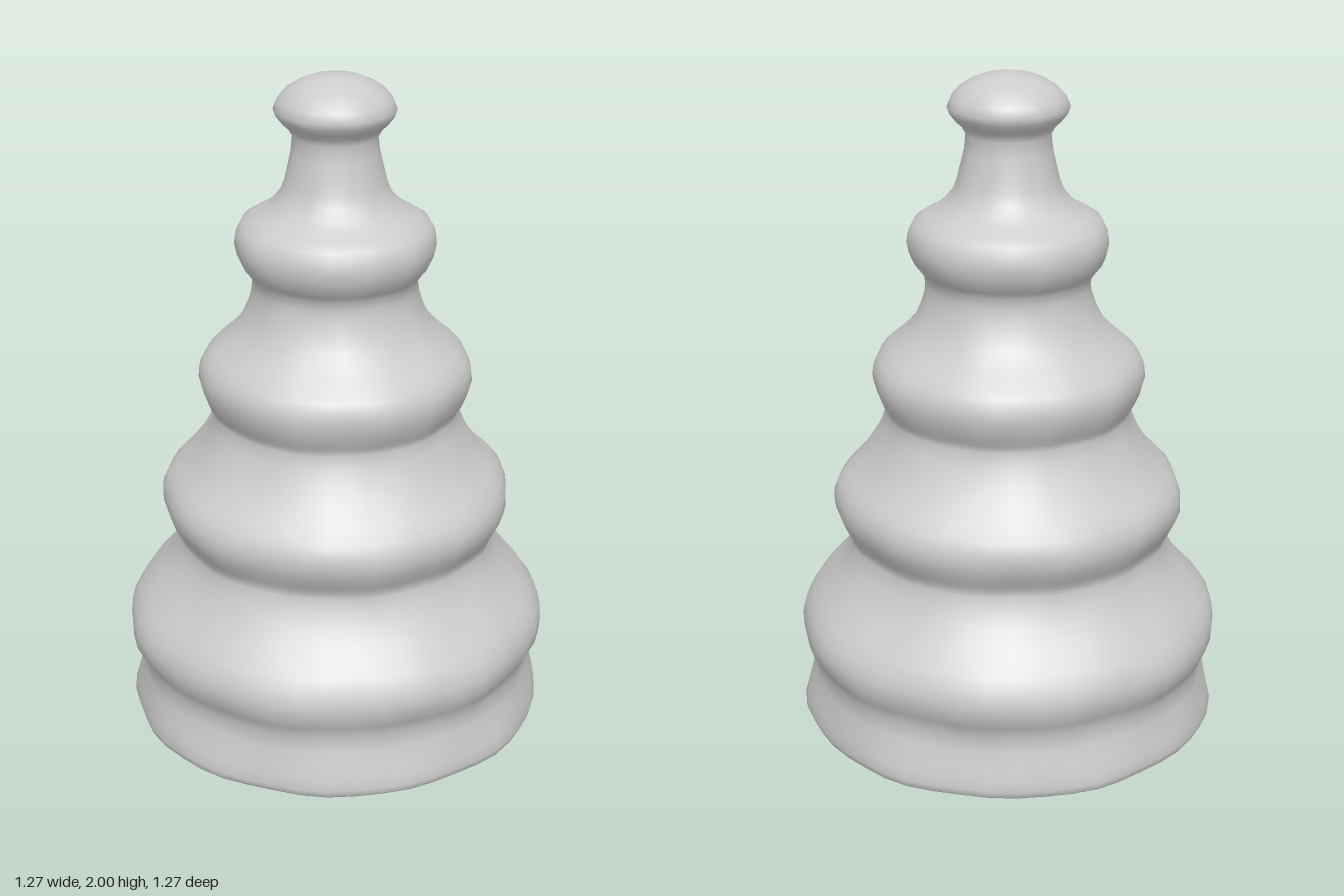
import * as THREE from 'three';
import { mergeVertices } from 'three/addons/utils/BufferGeometryUtils.js';

const SIDES = 48;

// Radius and height pairs up the outline: five bulging tiers and a knob
const PROFILE = [
  [0.62, 0.005], [0.63, 0.03], [0.615, 0.1], [0.597, 0.19], [0.634, 0.27], [0.625, 0.35],
  [0.572, 0.42], [0.51, 0.5], [0.478, 0.58], [0.492, 0.62], [0.523, 0.69], [0.508, 0.76],
  [0.45, 0.82], [0.395, 0.9], [0.365, 0.98], [0.383, 1.02], [0.405, 1.09], [0.388, 1.15],
  [0.335, 1.2], [0.28, 1.26], [0.247, 1.34], [0.245, 1.4], [0.275, 1.44], [0.294, 1.5],
  [0.275, 1.56], [0.21, 1.6], [0.162, 1.65], [0.14, 1.72], [0.123, 1.82], [0.153, 1.86],
  [0.176, 1.9], [0.145, 1.95], [0.08, 1.985], [0, 2],
];

// Slight hand-shaped unevenness around the body
function wobble(geometry) {
  const p = geometry.attributes.position;
  for (let i = 0; i < p.count; i++) {
    const a = Math.atan2(p.getX(i), p.getZ(i));
    const y = p.getY(i);
    const s = 1 + 0.006 * Math.sin(7 * a + 9 * y) + 0.005 * Math.sin(13 * a - 17 * y);
    p.setXYZ(i, p.getX(i) * s, y, p.getZ(i) * s);
  }
  geometry.deleteAttribute('normal');
  geometry.deleteAttribute('uv');
  const merged = mergeVertices(geometry, 1e-4);
  merged.computeVertexNormals();
  return merged;
}

export function createModel() {
  const group = new THREE.Group();
  group.name = 'tieredCone';
  const grey = new THREE.MeshStandardMaterial({ color: 0xcccccc });
  grey.name = 'light grey';

  // Tiered body, turned around the vertical axis
  const curve = new THREE.SplineCurve(PROFILE.map(([r, y]) => new THREE.Vector2(r, y)));
  const points = curve.getPoints((PROFILE.length - 1) * 2);
  points.forEach((v) => { v.x = Math.max(v.x, 0); v.y = Math.min(v.y, 2); });
  const body = new THREE.Mesh(wobble(new THREE.LatheGeometry(points, SIDES)), grey);
  body.name = 'tieredBody';
  group.add(body);

  // Flat underside, with a short bevel up to the body's lower edge
  const underside = new THREE.LatheGeometry(
    [new THREE.Vector2(0, 0), new THREE.Vector2(0.6, 0), new THREE.Vector2(0.62, 0.005)], SIDES);
  const base = new THREE.Mesh(wobble(underside), grey);
  base.name = 'underside';
  group.add(base);

  return group;
}
